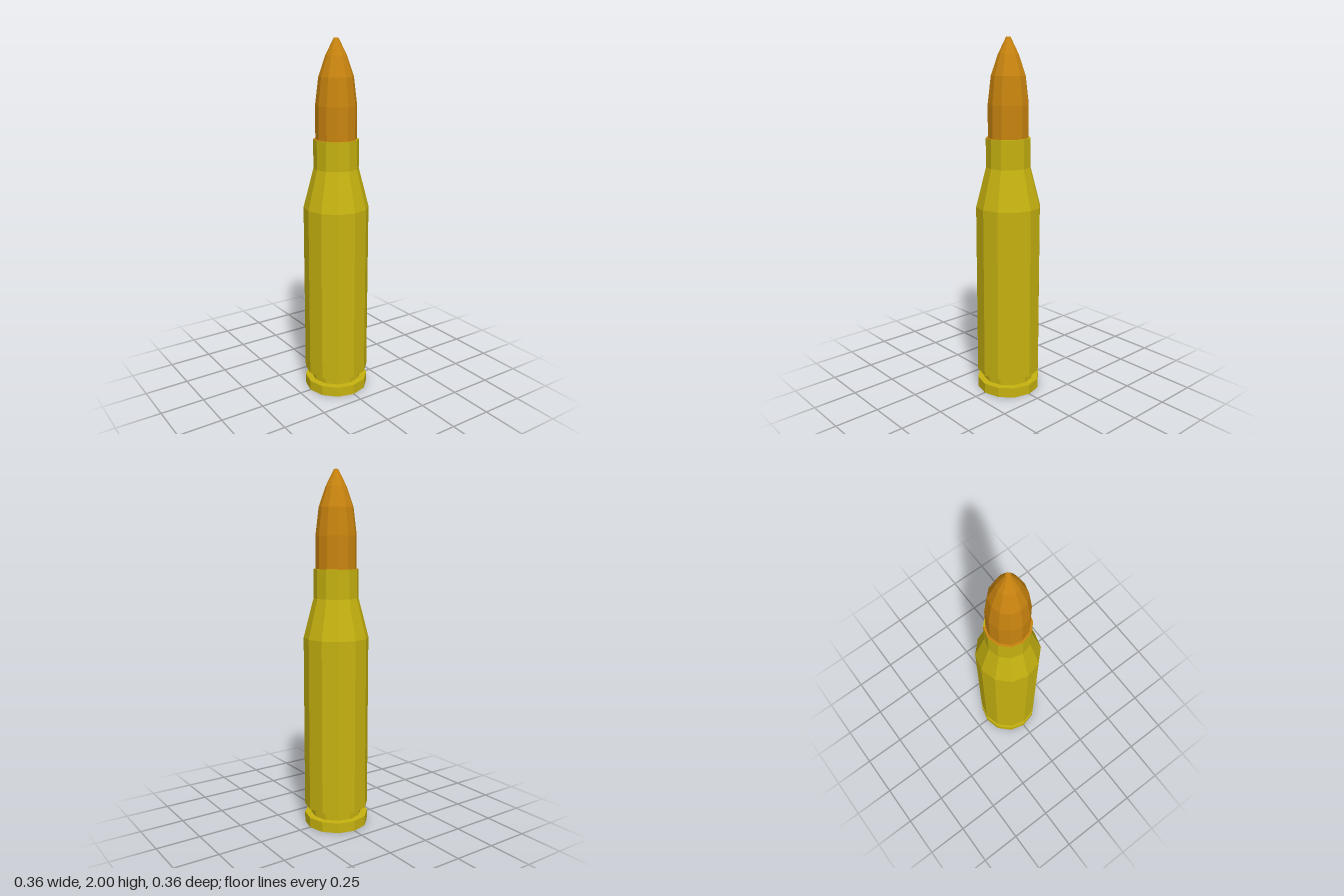
import * as THREE from 'three';

const SIDES = 12;

// Faceted lathe: profile is [radius, y] from bottom to top, covering some of the twelve sides
function facetedLathe(name, profile, material, firstSide = 0, sides = SIDES) {
  const step = (Math.PI * 2) / SIDES;
  const points = profile.map(([r, y]) => new THREE.Vector2(r, y));
  const geometry = new THREE.LatheGeometry(points, sides, firstSide * step, sides * step).toNonIndexed();
  geometry.computeVertexNormals();
  const mesh = new THREE.Mesh(geometry, material);
  mesh.name = name;
  return mesh;
}

export function createModel() {
  const brass = new THREE.MeshStandardMaterial({ color: 0xc6b210 });
  brass.name = 'brass';
  const copper = new THREE.MeshStandardMaterial({ color: 0xc9840f });
  copper.name = 'copper';

  const group = new THREE.Group();
  group.name = 'cartridge';

  // Rim disc with flat base, and the extractor groove above it
  group.add(facetedLathe('rim', [[0, 0], [0.182, 0], [0.182, 0.058], [0.145, 0.058]], brass));
  group.add(facetedLathe('extractorGroove', [[0.145, 0.058], [0.145, 0.096]], brass));

  // Case wall, tapered shoulder and straight neck
  group.add(facetedLathe('case', [
    [0.145, 0.096], [0.182, 0.11], [0.182, 1.09], [0.125, 1.31], [0.125, 1.47],
  ], brass));

  // Flat mouth of the neck: four brass sides on the left, the rest copper
  const mouth = [[0.125, 1.47], [0.112, 1.47]];
  group.add(facetedLathe('brassMouth', mouth, brass, 1, 4));
  group.add(facetedLathe('copperMouth', mouth, copper, 5, 8));

  // Pointed bullet with a small flat tip
  group.add(facetedLathe('bullet', [
    [0.113, 1.47], [0.113, 1.65], [0.095, 1.8], [0.057, 1.91], [0.012, 2], [0, 2],
  ], copper));

  return group;
}
